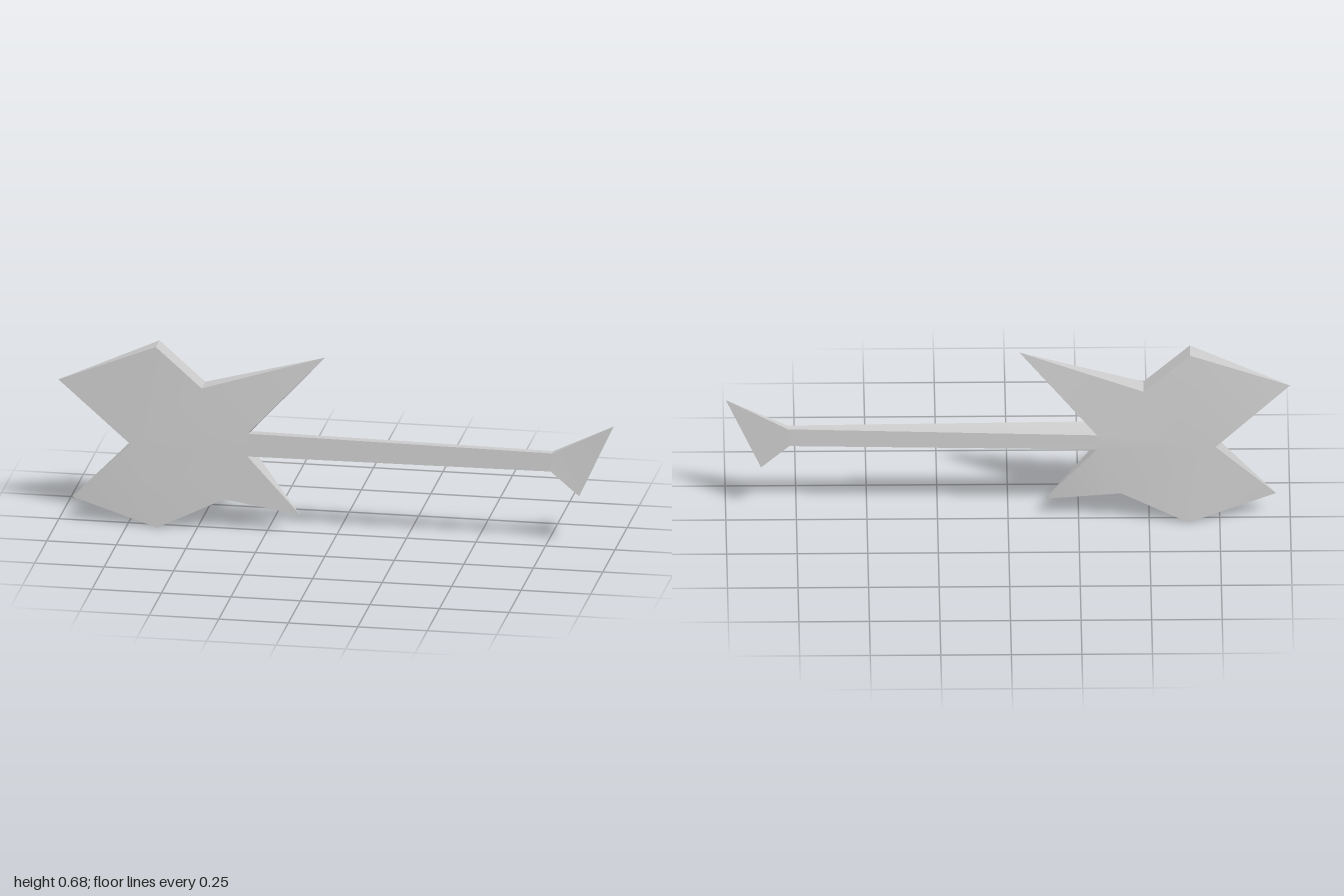
import * as THREE from 'three';
import { toCreasedNormals } from 'three/addons/utils/BufferGeometryUtils.js';

const F = 0.038, B = -0.038;

// A rim point with a front and a back corner; a tip has both in one place.
const rim = (x, y, zf = F, zb = B, yb = y) => ({
  f: [x, y, zf], b: [x, yb, zb], tip: false,
});
const tip = (x, y, z) => ({ f: [x, y, z], b: [x, y, z], tip: true });

// Closed slab from a counter-clockwise rim: tips are capped by one triangle
// each and the remaining convex core by a fan. Open edges are left unwalled.
function slab(name, points, material, openEdges = [], fanAll = false) {
  const pos = [];
  const tri = (a, b, c) => pos.push(...a, ...b, ...c);
  const cap = (p, q, r) => {
    tri(p.f, q.f, r.f);
    tri(p.b, r.b, q.b);
  };
  const n = points.length;
  const core = fanAll ? points : points.filter((p) => !p.tip);
  for (let i = 1; i < core.length - 1; i++) cap(core[0], core[i], core[i + 1]);
  points.forEach((p, i) => {
    const q = points[(i + 1) % n];
    if (p.tip && !fanAll) cap(points[(i + n - 1) % n], p, q);
    if (openEdges.includes(i)) return;
    if (!p.tip) tri(p.f, p.b, q.b);
    if (!q.tip) tri(p.f, q.b, q.f);
  });
  let geometry = new THREE.BufferGeometry();
  geometry.setAttribute('position', new THREE.Float32BufferAttribute(pos, 3));
  geometry = toCreasedNormals(geometry, 0.35);
  const mesh = new THREE.Mesh(geometry, material);
  mesh.name = name;
  return mesh;
}

export function createModel() {
  const group = new THREE.Group();
  group.name = 'guitar';
  const grey = new THREE.MeshStandardMaterial({ color: 0xcccccc });
  grey.name = 'light grey';

  // Shared cross-section corners where the neck meets body and head
  const rootTop = rim(-0.315, 0.37, F, B, 0.355);
  const rootBottom = rim(-0.315, 0.285, F, B, 0.298);
  const endTop = rim(0.78, 0.36, F, 0.01);
  const endBottom = rim(0.775, 0.292, F, 0.01);

  // Star-shaped body with four pointed horns
  group.add(slab('body', [
    rim(-0.735, 0.305),
    tip(-0.95, 0.09, 0.012),
    rim(-0.64, 0),
    rim(-0.4, 0.12),
    tip(-0.13, 0.07, 0.015),
    rootBottom,
    rootTop,
    tip(-0.04, 0.663, 0.015),
    rim(-0.48, 0.53),
    rim(-0.645, 0.675),
    tip(-1, 0.525, 0.012),
  ], grey, [5]));

  // Neck, thinning from the back towards the head
  group.add(slab('neck', [rootTop, rootBottom, endBottom, endTop], grey, [0, 2]));

  // Wedge-shaped head with a sharp outer edge
  group.add(slab('head', [
    endTop, endBottom, tip(0.875, 0.2, 0.022), tip(1, 0.47, 0.028),
  ], grey, [0], true));

  return group;
}
